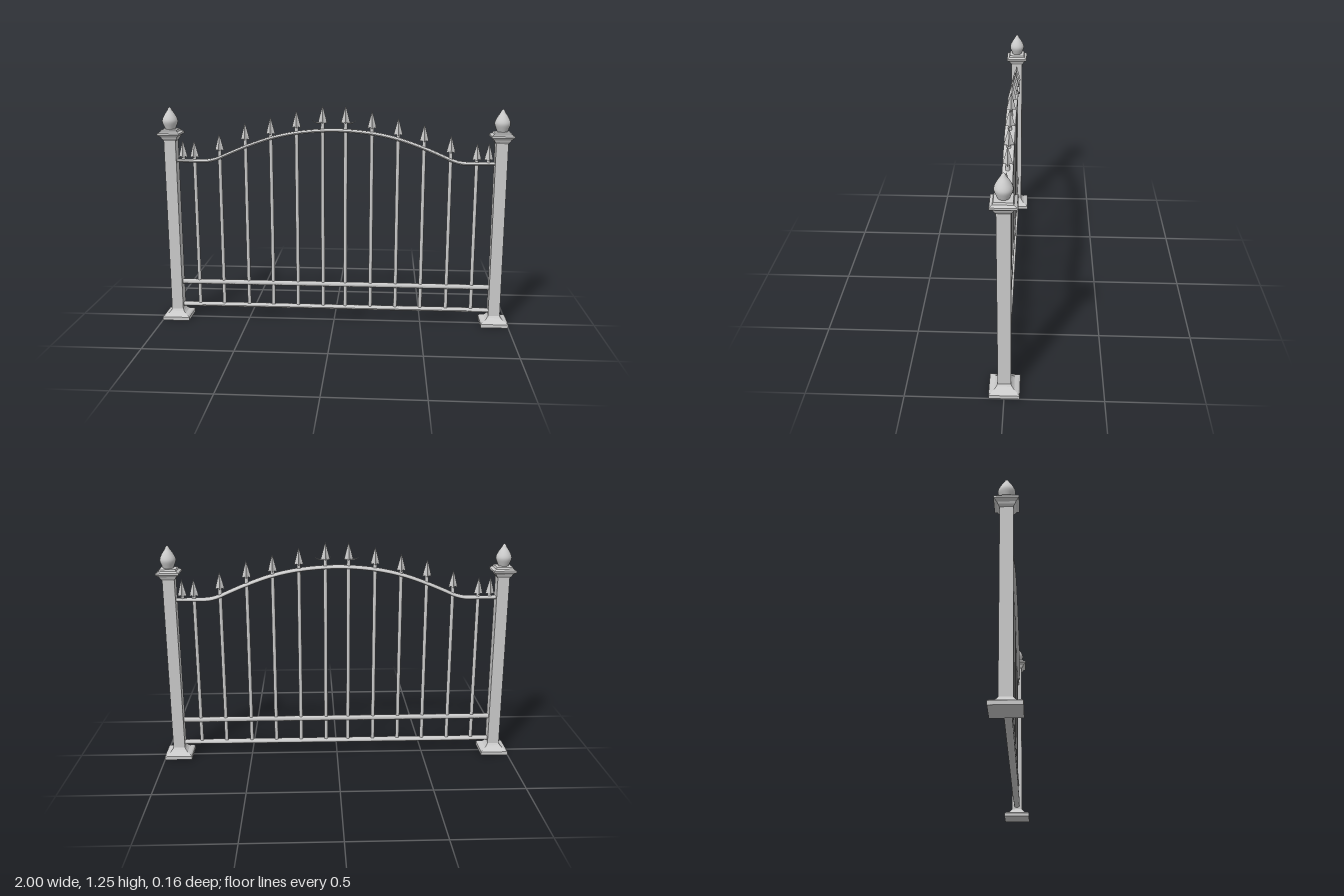
import * as THREE from 'three';

const smooth = new THREE.MeshStandardMaterial({ color: 0xcccccc });
const flat = new THREE.MeshStandardMaterial({ color: 0xcccccc, flatShading: true });
const V2 = ([x, y]) => new THREE.Vector2(x, y);

function add(parent, name, geometry, material, x = 0, y = 0, z = 0) {
  const mesh = new THREE.Mesh(geometry, material);
  mesh.name = name;
  mesh.position.set(x, y, z);
  parent.add(mesh);
  return mesh;
}

// Square turned profile: [half width, height]
function squareLathe(profile) {
  const g = new THREE.LatheGeometry(profile.map(([w, y]) => V2([w * Math.SQRT2, y])), 4);
  return g.rotateY(Math.PI / 4);
}

// Four-edged spear head: every second column of the lathe is pulled inwards
function spearGeometry() {
  const profile = [[0.009, 0.014], [0.025, 0], [0.021, 0.02], [0.013, 0.05], [0.005, 0.08], [0, 0.096]];
  const g = new THREE.LatheGeometry(profile.map(V2), 8);
  const p = g.attributes.position;
  for (let i = 0; i < p.count; i++) {
    const column = Math.floor(i / profile.length);
    const row = i % profile.length;
    if (column % 2 && row > 0) p.setXYZ(i, p.getX(i) * 0.55, p.getY(i) + (row === 1 ? 0.006 : 0), p.getZ(i) * 0.55);
  }
  return g;
}

// Flat-sided ribbon rail swept along a curve in the x-y plane, narrowing at its ends
function railGeometry(curve, radius, halfDepth, endDepth) {
  const g = new THREE.TubeGeometry(curve, 80, radius, 12);
  const p = g.attributes.position;
  for (let i = 0; i < p.count; i++) {
    const t = THREE.MathUtils.smoothstep(Math.abs(p.getX(i)), 0.68, 0.86);
    const s = p.getZ(i) / radius;
    p.setZ(i, Math.sign(s) * Math.sqrt(Math.abs(s)) * THREE.MathUtils.lerp(halfDepth, endDepth, t));
  }
  g.computeVertexNormals();
  return g;
}

export function createModel() {
  const model = new THREE.Group();
  model.name = 'fencePanel';
  const postX = 0.922;

  // Posts with flared foot, stepped cap and teardrop finial
  const postGeo = squareLathe([
    [0, 0], [0.078, 0], [0.078, 0.02], [0.07, 0.027], [0.05, 0.035], [0.04, 0.045], [0.033, 0.056],
    [0.033, 1.05], [0.042, 1.062], [0.046, 1.072], [0.062, 1.085], [0.062, 1.095],
    [0.048, 1.103], [0.044, 1.113], [0, 1.117],
  ]);
  const finialCurve = new THREE.SplineCurve([
    [0.026, 1.11], [0.034, 1.128], [0.043, 1.153], [0.041, 1.172], [0.029, 1.196], [0.015, 1.217], [0.008, 1.231], [0, 1.237],
  ].map(V2));
  const finialGeo = new THREE.LatheGeometry(finialCurve.getPoints(28), 24);
  for (const side of [-1, 1]) {
    const post = new THREE.Group();
    post.name = side > 0 ? 'leftPost' : 'rightPost';
    post.position.x = side * postX;
    add(post, 'postShaft', postGeo, flat);
    add(post, 'postFinial', finialGeo, smooth);
    model.add(post);
  }

  // Arched top rail, mirrored from one half
  const half = [[0.2, 1.1], [0.355, 1.068], [0.5, 1.018], [0.6, 0.976], [0.66, 0.95], [0.71, 0.937], [0.78, 0.935], [0.9, 0.935]];
  const archPoints = [...half.map(([x, y]) => [-x, y]).reverse(), [0, 1.114], ...half]
    .map(([x, y]) => new THREE.Vector3(x, y, 0));
  const arch = new THREE.CatmullRomCurve3(archPoints);
  add(model, 'topRail', railGeometry(arch, 0.009, 0.028, 0.017), smooth);

  // Straight lower rails
  const straight = (y) => new THREE.LineCurve3(new THREE.Vector3(-0.9, y, 0), new THREE.Vector3(0.9, y, 0));
  add(model, 'middleRail', railGeometry(straight(0.218), 0.0135, 0.015, 0.015), smooth);
  add(model, 'bottomRail', railGeometry(straight(0.079), 0.011, 0.02, 0.017), smooth);

  // Height of the top rail at a given x
  const samples = arch.getPoints(300);
  const railHeight = (x) => samples.reduce((a, b) => (Math.abs(b.x - x) < Math.abs(a.x - x) ? b : a)).y;

  // Bars with a neck and spear head above the rail; the outermost spears have no bar
  const spearGeo = spearGeometry();
  const neckGeo = new THREE.CylinderGeometry(0.009, 0.012, 0.06, 10);
  const spears = [[0.064, 1.25], [0.21, 1.222], [0.355, 1.185], [0.499, 1.152], [0.647, 1.09], [0.791, 1.05], [0.856, 1.05]];
  for (const side of [-1, 1]) {
    for (const [x, tip] of spears) {
      const rail = railHeight(x);
      if (x < 0.8) {
        const length = rail - 0.079;
        add(model, 'bar', new THREE.CylinderGeometry(0.0105, 0.0105, length, 12), smooth, side * x, 0.079 + length / 2);
      }
      add(model, 'spearNeck', neckGeo, smooth, side * x, rail + 0.024);
      add(model, 'spearHead', spearGeo, flat, side * x, tip - 0.096);
    }

    // Curled barbs on the two central spears, longer on the outer side
    for (const [dir, reach] of [[1, 0.058], [-1, 0.03]]) {
      const d = side * dir;
      const path = new THREE.QuadraticBezierCurve3(
        new THREE.Vector3(0, 0.012, 0), new THREE.Vector3(d * reach * 0.6, -0.006, 0), new THREE.Vector3(d * reach, 0.02, 0));
      const g = new THREE.TubeGeometry(path, 8, 0.007, 8);
      const p = g.attributes.position;
      for (let i = 0; i < p.count; i++) {
        const t = Math.floor(i / 9) / 8;
        const c = path.getPointAt(t);
        const k = 1 - 0.95 * t;
        p.setXYZ(i, c.x + (p.getX(i) - c.x) * k, c.y + (p.getY(i) - c.y) * k, p.getZ(i) * k);
      }
      g.computeVertexNormals();
      add(model, 'curledBarb', g, smooth, side * 0.064, 1.15);
    }
  }
  return model;
}
